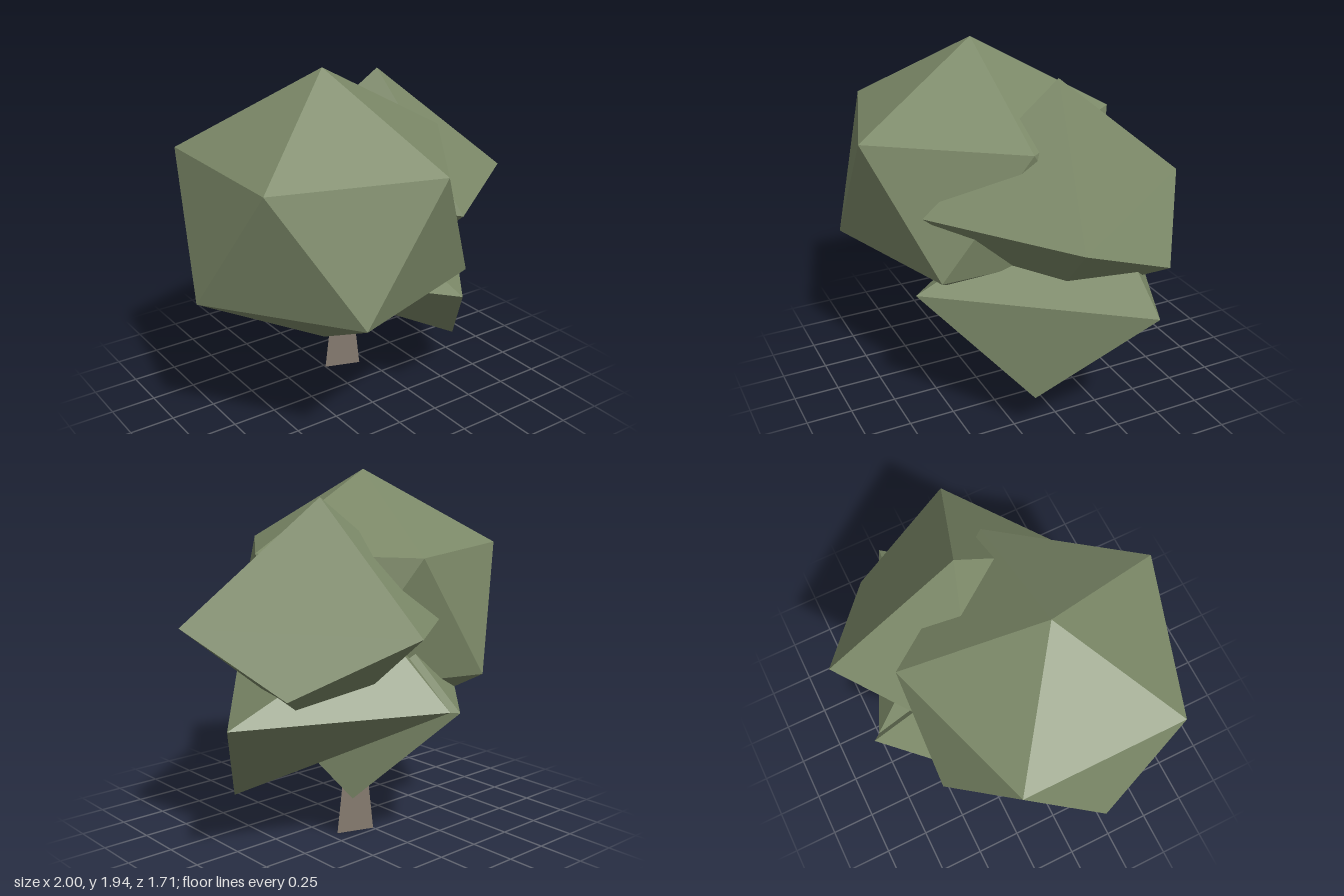
import * as THREE from 'three';
import { ConvexGeometry } from 'three/addons/geometries/ConvexGeometry.js';

export function createModel() {
  const tree = new THREE.Group();
  tree.name = 'tree';

  const foliage = new THREE.MeshStandardMaterial({ color: 0x7c8968, flatShading: true });
  foliage.name = 'foliage green';
  const bark = new THREE.MeshStandardMaterial({ color: 0x857a6f, side: THREE.DoubleSide });
  bark.name = 'bark brown';

  // Faceted leaf clump wrapped around a few corner points
  function clump(name, corners) {
    const geometry = new ConvexGeometry(corners.map((c) => new THREE.Vector3(...c)));
    const mesh = new THREE.Mesh(geometry, foliage);
    mesh.name = name;
    tree.add(mesh);
  }

  // Large crown: twenty-sided ball, two staggered rings of five between two tips
  const crown = [[-0.25, 1.94, 0.14], [-0.25, 0.45, 0.14]];
  for (let i = 0; i < 10; i++) {
    const a = (i * Math.PI) / 5;
    crown.push([-0.25 + 0.75 * Math.cos(a), i % 2 ? 0.862 : 1.528, 0.14 + 0.75 * Math.sin(a)]);
  }
  clump('largeCrown', crown);

  // Rear crown: double pyramid with one drooping corner
  const rear = [[0.27, 1.82, -0.11], [0.27, 0.58, -0.11], [0.79, 0.913, -0.49]];
  for (const degrees of [0, 108, 180, 288]) {
    const a = THREE.MathUtils.degToRad(degrees);
    rear.push([0.27 + 0.75 * Math.sin(a), 1.2, -0.11 - 0.75 * Math.cos(a)]);
  }
  clump('rearCrown', rear);

  // Low side clump, hanging to a point
  clump('lowSideClump', [
    [0.25, 0.77, 0.685], [1.0, 0.77, -0.3], [-0.03, 0.77, -0.76], [-0.5, 0.77, -0.2],
    [0.63, 0.23, 0.19], [0.13, 1.18, -0.42],
  ]);

  // Low inner clump around the top of the trunk
  clump('lowInnerClump', [
    [-0.06, 0.77, -0.8], [0.55, 0.77, 0.07], [-0.05, 0.77, 0.5], [-0.74, 0.77, -0.1],
    [0.24, 0.26, -0.33], [-0.07, 1.15, -0.3],
  ]);

  // Trunk: flat tapering blade, turned slightly
  const blade = new THREE.Shape();
  blade.moveTo(-0.106, 0);
  blade.lineTo(0.106, 0);
  blade.lineTo(0.01, 0.88);
  blade.lineTo(-0.01, 0.88);
  const trunk = new THREE.Mesh(new THREE.ShapeGeometry(blade), bark);
  trunk.name = 'trunk';
  trunk.position.set(0.1, 0, -0.195);
  trunk.rotation.y = -Math.atan2(0.07, 0.2);
  tree.add(trunk);

  return tree;
}
